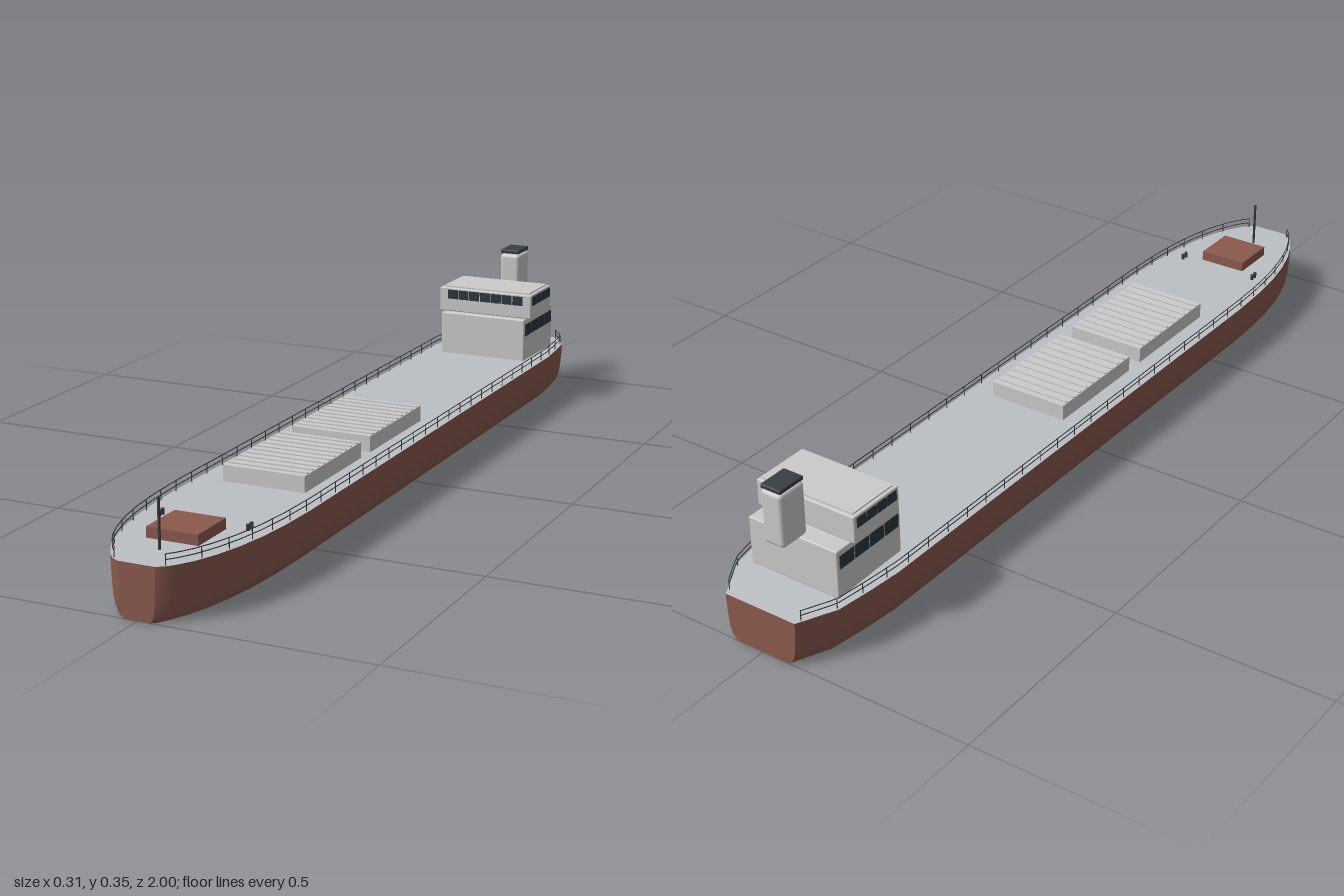
import * as THREE from 'three';
import { toCreasedNormals } from 'three/addons/utils/BufferGeometryUtils.js';
import { RoundedBoxGeometry } from 'three/addons/geometries/RoundedBoxGeometry.js';

const mat = (color, side = THREE.FrontSide) => new THREE.MeshStandardMaterial({ color, side });
const grey = mat(0xcccccc);
const deckGrey = mat(0xbcc0c4, THREE.DoubleSide);
const red = mat(0x8b5a4e, THREE.DoubleSide);
const hatchRed = mat(0x8b5a4e);
const dark = mat(0x3a3f45);
const glass = mat(0x2c363f);

// Hull stations: z, half width at the deck, deck height
const STATIONS = [
  [-1, 0.088, 0.104], [-0.92, 0.133, 0.109], [-0.84, 0.146, 0.112], [-0.76, 0.155, 0.114],
  [-0.4, 0.155, 0.114], [0, 0.155, 0.114], [0.35, 0.155, 0.114], [0.58, 0.155, 0.114],
  [0.68, 0.151, 0.114], [0.76, 0.143, 0.114], [0.83, 0.13, 0.114], [0.89, 0.113, 0.114],
  [0.94, 0.092, 0.114], [0.975, 0.07, 0.114], [0.992, 0.054, 0.114], [1, 0.04, 0.114],
];
// Half section from keel to deck edge: fraction of half width, fraction of height
const SECTION = [[0, 0], [0.7, 0], [0.8, 0.03], [0.89, 0.13], [0.95, 0.3], [0.98, 0.55], [1, 0.85], [1, 1]];

// Half width and deck height at any z
function edgeAt(z) {
  let i = 1;
  while (i < STATIONS.length - 1 && STATIONS[i][0] < z) i++;
  const [a, b] = [STATIONS[i - 1], STATIONS[i]];
  const t = (z - a[0]) / (b[0] - a[0]);
  return { w: a[1] + (b[1] - a[1]) * t, y: a[2] + (b[2] - a[2]) * t };
}

// Skin over rows of points, with optional flat end caps
function loft(rows, caps) {
  const n = rows[0].length, index = [], position = rows.flat(2);
  for (let i = 0; i < rows.length - 1; i++) {
    for (let j = 0; j < n - 1; j++) {
      const a = i * n + j, b = a + n;
      index.push(a, a + 1, b, b, a + 1, b + 1);
    }
  }
  if (caps) {
    const last = (rows.length - 1) * n;
    for (let j = 1; j < n - 1; j++) index.push(0, j + 1, j, last, last + j, last + j + 1);
  }
  const g = new THREE.BufferGeometry();
  g.setAttribute('position', new THREE.Float32BufferAttribute(position, 3));
  g.setIndex(index);
  return toCreasedNormals(g, 0.45);
}

export function createModel() {
  const ship = new THREE.Group();
  ship.name = 'cargoShip';

  function add(name, geometry, material, x = 0, y = 0, z = 0, parent = ship) {
    const m = new THREE.Mesh(geometry, material);
    m.name = name;
    m.position.set(x, y, z);
    parent.add(m);
    return m;
  }
  // Box given by its size, base height and centre
  const box = (name, w, h, d, x, y, z, material = grey, parent = ship) =>
    add(name, new THREE.BoxGeometry(w, h, d), material, x, y + h / 2, z, parent);
  const rounded = (name, w, h, d, x, y, z, r, material = grey) =>
    add(name, new RoundedBoxGeometry(w, h, d, 2, r), material, x, y + h / 2, z);

  // Hull and deck
  const rows = STATIONS.map(([z, w, h]) => {
    const half = SECTION.map(([fx, fy]) => [fx * w, fy * h, z]);
    const mirrored = half.slice(1).reverse().map(([x, y]) => [-x, y, z]);
    return [...mirrored, ...half];
  });
  add('hull', loft(rows, true), red);
  add('deck', loft(STATIONS.map(([z, w, h]) => [[w, h, z], [-w, h, z]]), false), deckGrey);

  // Cargo hatches with ribbed covers
  for (const z of [0.04, 0.355]) {
    const hatch = new THREE.Group();
    hatch.name = 'cargoHatch';
    ship.add(hatch);
    box('hatchCoaming', 0.19, 0.038, 0.27, 0, 0.112, z, grey, hatch);
    for (let i = 0; i < 10; i++) {
      box('hatchRib', 0.186, 0.003, 0.006, 0, 0.15, z - 0.117 + i * 0.026, grey, hatch);
    }
  }

  // Foredeck: store hatch, mast and paired bollards
  box('foredeckHatch', 0.115, 0.025, 0.11, 0, 0.112, 0.81, hatchRed);
  add('foremast', new THREE.CylinderGeometry(0.003, 0.003, 0.106, 8), dark, 0, 0.166, 0.912);
  for (const x of [-0.1, 0.1]) {
    for (const z of [0.73, 0.744]) {
      add('bollard', new THREE.CylinderGeometry(0.004, 0.004, 0.014, 8), dark, x, 0.12, z);
    }
  }

  // Deckhouse, bridge and funnel
  rounded('deckhouse', 0.224, 0.11, 0.197, 0, 0.109, -0.796, 0.003);
  rounded('bridge', 0.247, 0.061, 0.14, 0, 0.219, -0.782, 0.003);
  box('bridgeRoof', 0.23, 0.004, 0.125, 0, 0.279, -0.782);
  rounded('funnel', 0.052, 0.122, 0.072, 0, 0.221, -0.912, 0.009);
  rounded('funnelCap', 0.05, 0.01, 0.07, 0, 0.345, -0.912, 0.003, dark);

  // Windows across the bridge front and along both sides
  for (let i = 0; i < 7; i++) {
    box('bridgeFrontWindow', 0.027, 0.023, 0.003, (i - 3) * 0.0293, 0.252, -0.712, glass);
  }
  for (const s of [-1, 1]) {
    for (let i = 0; i < 4; i++) {
      box('bridgeSideWindow', 0.003, 0.023, 0.029, s * 0.1235, 0.252, -0.735 - i * 0.0313, glass);
      box('deckhouseSideWindow', 0.003, 0.03, 0.043, s * 0.112, 0.176, -0.726 - i * 0.0465, glass);
    }
  }

  // Railings along both deck edges
  const zs = STATIONS.map(s => s[0]).filter(z => z > -0.99 && z < 0.98);
  const railZ = [-0.985, ...zs, 0.985];
  const post = new THREE.CylinderGeometry(0.0011, 0.0011, 0.024, 5);
  for (const s of [-1, 1]) {
    const railing = new THREE.Group();
    railing.name = s > 0 ? 'leftRailing' : 'rightRailing';
    ship.add(railing);
    for (const h of [0.012, 0.023]) {
      const path = new THREE.CurvePath();
      const pts = railZ.map(z => {
        const e = edgeAt(z);
        return new THREE.Vector3(s * (e.w - 0.005), e.y + h, z);
      });
      for (let i = 1; i < pts.length; i++) path.add(new THREE.LineCurve3(pts[i - 1], pts[i]));
      add('rail', new THREE.TubeGeometry(path, 100, 0.0011, 5), dark, 0, 0, 0, railing);
    }
    for (let i = 0; i <= 30; i++) {
      const z = -0.985 + i * 1.97 / 30;
      const e = edgeAt(z);
      add('railPost', post, dark, s * (e.w - 0.005), e.y + 0.011, z, railing);
    }
  }
  return ship;
}
